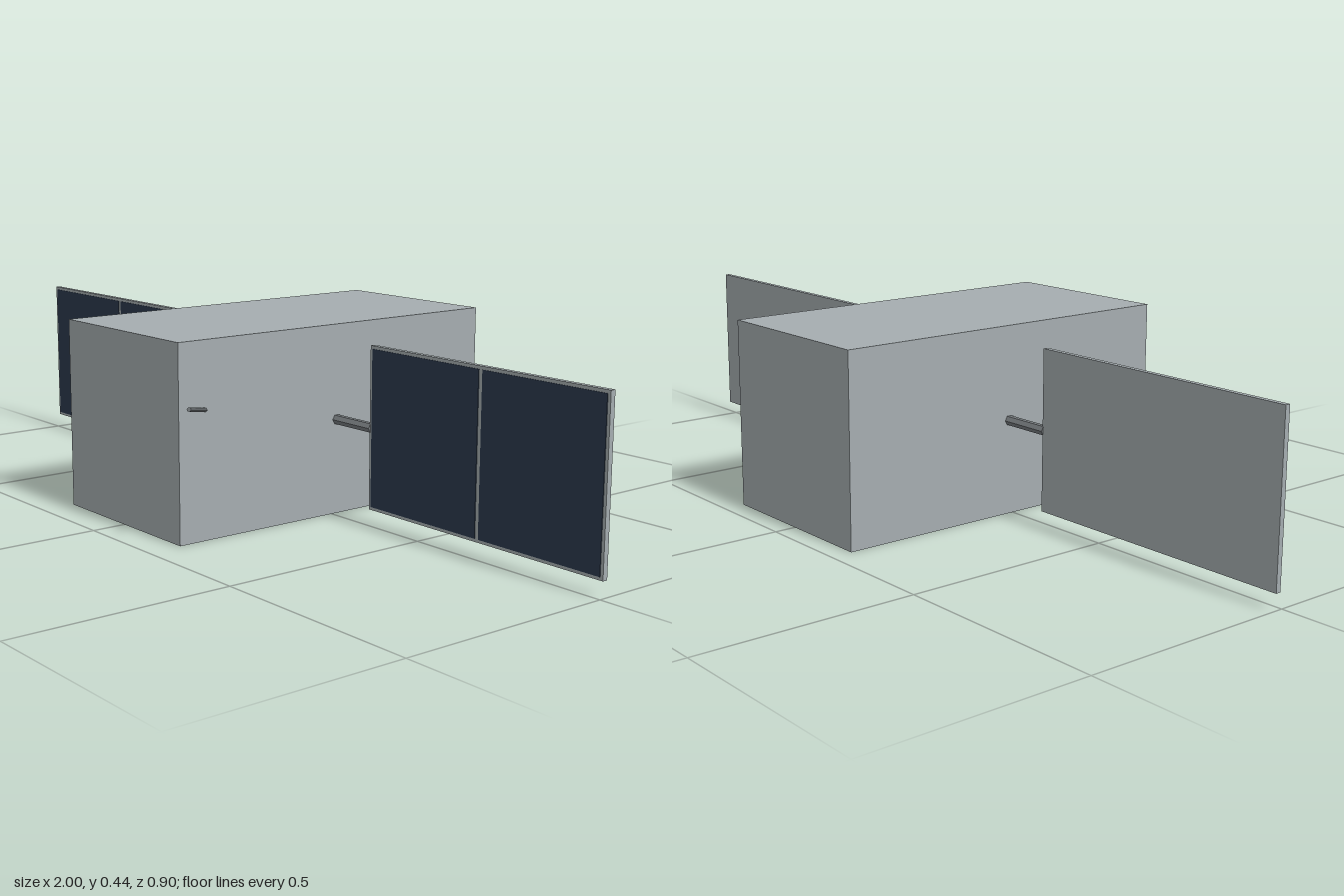
import * as THREE from 'three';

const paint = (name, color) => {
  const m = new THREE.MeshStandardMaterial({ color });
  m.name = name;
  return m;
};

export function createModel() {
  const model = new THREE.Group();
  model.name = 'satellite';
  const grey = paint('hullGrey', 0xa5adb0);
  const blue = paint('cellBlue', 0x2c3a4e);
  const metal = paint('rodMetal', 0x777c7f);

  const add = (parent, name, geometry, material, x, y, z) => {
    const mesh = new THREE.Mesh(geometry, material);
    mesh.name = name;
    mesh.position.set(x, y, z);
    parent.add(mesh);
    return mesh;
  };

  // six-sided rod between two points
  const rod = (parent, name, a, b, radius) => {
    const dir = b.clone().sub(a);
    const geo = new THREE.CylinderGeometry(radius, radius, dir.length(), 6).toNonIndexed();
    geo.computeVertexNormals();
    const mid = a.clone().add(b).multiplyScalar(0.5);
    const mesh = add(parent, name, geo, metal, mid.x, mid.y, mid.z);
    mesh.quaternion.setFromUnitVectors(new THREE.Vector3(0, 1, 0), dir.normalize());
  };

  // main body
  add(model, 'body', new THREE.BoxGeometry(0.434, 0.436, 0.87), grey, 0, 0.218, -0.015);

  // solar wings, one on each side
  const wingY = 0.219, wingZ = -0.0125;
  for (const side of [-1, 1]) {
    const wing = new THREE.Group();
    wing.name = side > 0 ? 'leftWing' : 'rightWing';
    model.add(wing);
    rod(wing, 'wingBoom', new THREE.Vector3(side * 0.21, wingY, wingZ),
      new THREE.Vector3(side * 0.338, wingY, wingZ), 0.0115);
    add(wing, 'panel', new THREE.BoxGeometry(0.664, 0.368, 0.012), grey, side * 0.668, wingY, wingZ);
    // two cell plates leave a frame and a centre divider
    for (const half of [-1, 1]) {
      add(wing, 'solarCells', new THREE.BoxGeometry(0.32, 0.354, 0.002), blue,
        side * 0.668 + half * 0.165, wingY, wingZ + 0.0065);
    }
  }

  // slanted antenna on the left flank
  rod(model, 'antenna', new THREE.Vector3(0.212, 0.285, 0.348),
    new THREE.Vector3(0.29, 0.31, 0.445), 0.005);

  return model;
}
